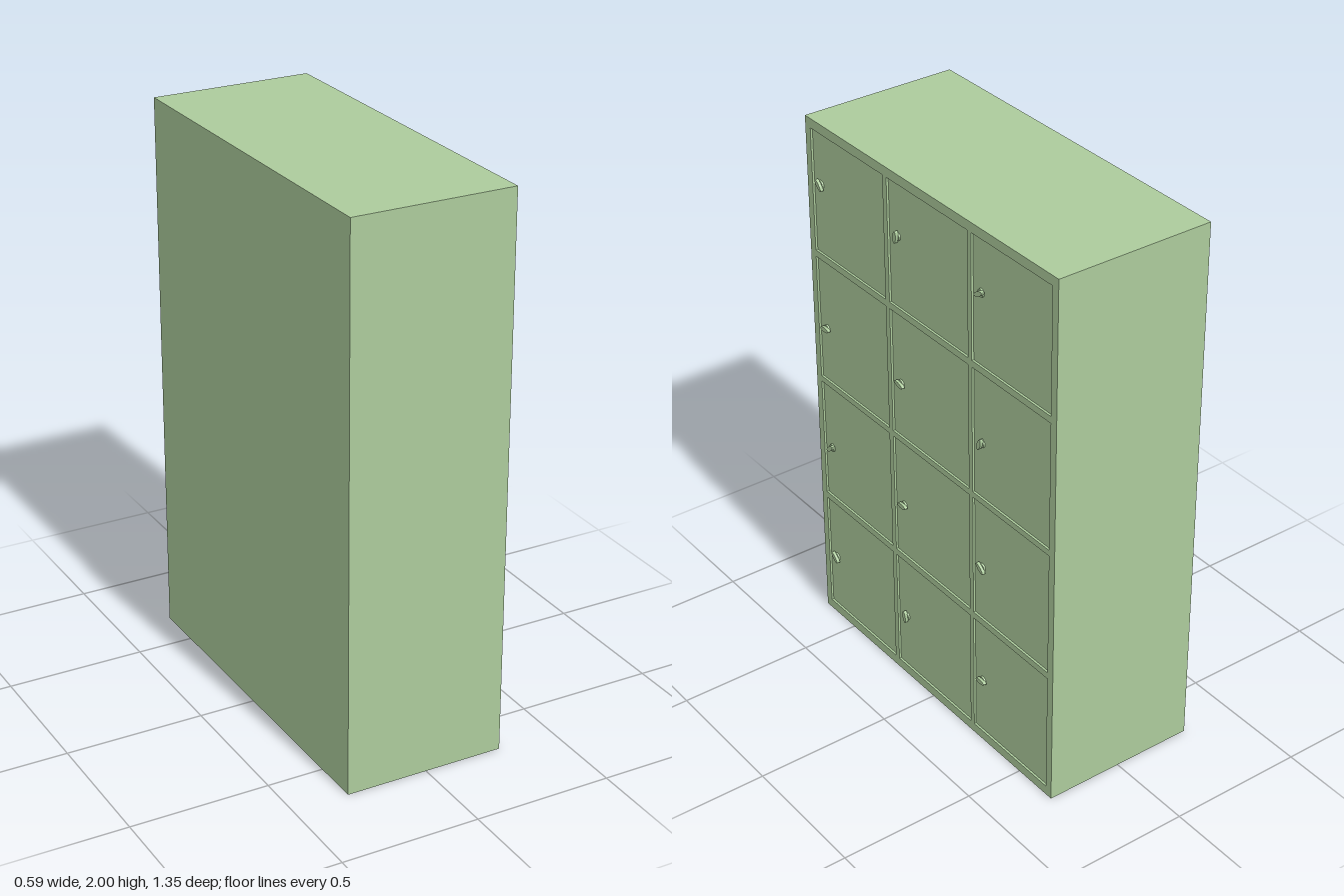
import * as THREE from 'three';

const X0 = -0.297, X1 = 0.287, HZ = 0.675, H = 2;
const RECESS = 0.008;

// door openings: [low, high] along z for each column and along y for each row
const COLUMNS = [[0.232, 0.646], [-0.222, 0.21], [-0.646, -0.242]];
const ROWS = [[1.51, 1.965], [1.01, 1.485], [0.52, 0.988], [0.035, 0.495]];
const KNOB_Z = [0.605, 0.163, -0.285];
const KNOB_Y = [1.772, 1.218, 0.728, 0.252];
const KNOB_TURN = [[-45, 85, 30], [0, -12, 72], [40, 0, -38], [-42, -80, 0]];

export function createModel() {
  const group = new THREE.Group();
  const paint = new THREE.MeshStandardMaterial({ color: 0xaccb9c, side: THREE.DoubleSide });

  const add = (name, geometry, parent = group) => {
    const mesh = new THREE.Mesh(geometry, paint);
    mesh.name = name;
    parent.add(mesh);
    return mesh;
  };

  // sheet-metal shell, open underneath
  const depth = X1 - X0, midX = (X0 + X1) / 2;
  add('backPanel', new THREE.PlaneGeometry(HZ * 2, H).rotateY(-Math.PI / 2).translate(X0, H / 2, 0));
  add('topPanel', new THREE.PlaneGeometry(depth, HZ * 2).rotateX(-Math.PI / 2).translate(midX, H, 0));
  for (const s of [1, -1]) {
    add(s > 0 ? 'sidePanelA' : 'sidePanelB',
      new THREE.PlaneGeometry(depth, H).rotateY(s > 0 ? 0 : Math.PI).translate(midX, H / 2, s * HZ));
  }

  // face frame with twelve openings; shape x runs along -z
  const rectangle = (path, u0, u1, v0, v1) =>
    path.moveTo(u0, v0).lineTo(u1, v0).lineTo(u1, v1).lineTo(u0, v1).closePath();
  const face = new THREE.Shape();
  rectangle(face, -HZ, HZ, 0, H);
  for (const [z0, z1] of COLUMNS) {
    for (const [y0, y1] of ROWS) {
      const hole = new THREE.Path();
      rectangle(hole, -z1, -z0, y0, y1);
      face.holes.push(hole);
    }
  }
  const frame = new THREE.ExtrudeGeometry(face, { depth: RECESS, bevelEnabled: false });
  add('doorFrame', frame.rotateY(Math.PI / 2).translate(X1 - RECESS, 0, 0));

  // turn latch: round base plus pointed oval grip
  const base = new THREE.CylinderGeometry(0.014, 0.016, 0.012, 16).rotateZ(-Math.PI / 2);
  const oval = new THREE.Shape();
  oval.absellipse(0, 0, 0.023, 0.0085, 0, Math.PI * 2);
  const grip = new THREE.ExtrudeGeometry(oval, { depth: 0.012, bevelEnabled: false, curveSegments: 10 })
    .rotateY(Math.PI / 2).translate(0.004, 0, 0);

  // doors set slightly back in the frame, each with its latch
  ROWS.forEach(([y0, y1], r) => COLUMNS.forEach(([z0, z1], c) => {
    const locker = new THREE.Group();
    locker.name = `locker${r + 1}_${c + 1}`;
    group.add(locker);
    const thick = 0.01;
    add('door', new THREE.BoxGeometry(thick, y1 - y0, z1 - z0)
      .translate(X1 - RECESS - thick / 2, (y0 + y1) / 2, (z0 + z1) / 2), locker);
    const latch = new THREE.Group();
    latch.name = 'latch';
    latch.position.set(X1 - RECESS, KNOB_Y[r], KNOB_Z[c]);
    latch.rotation.x = THREE.MathUtils.degToRad(KNOB_TURN[r][c]);
    add('latchBase', base, latch);
    add('latchGrip', grip, latch);
    locker.add(latch);
  }));

  return group;
}
